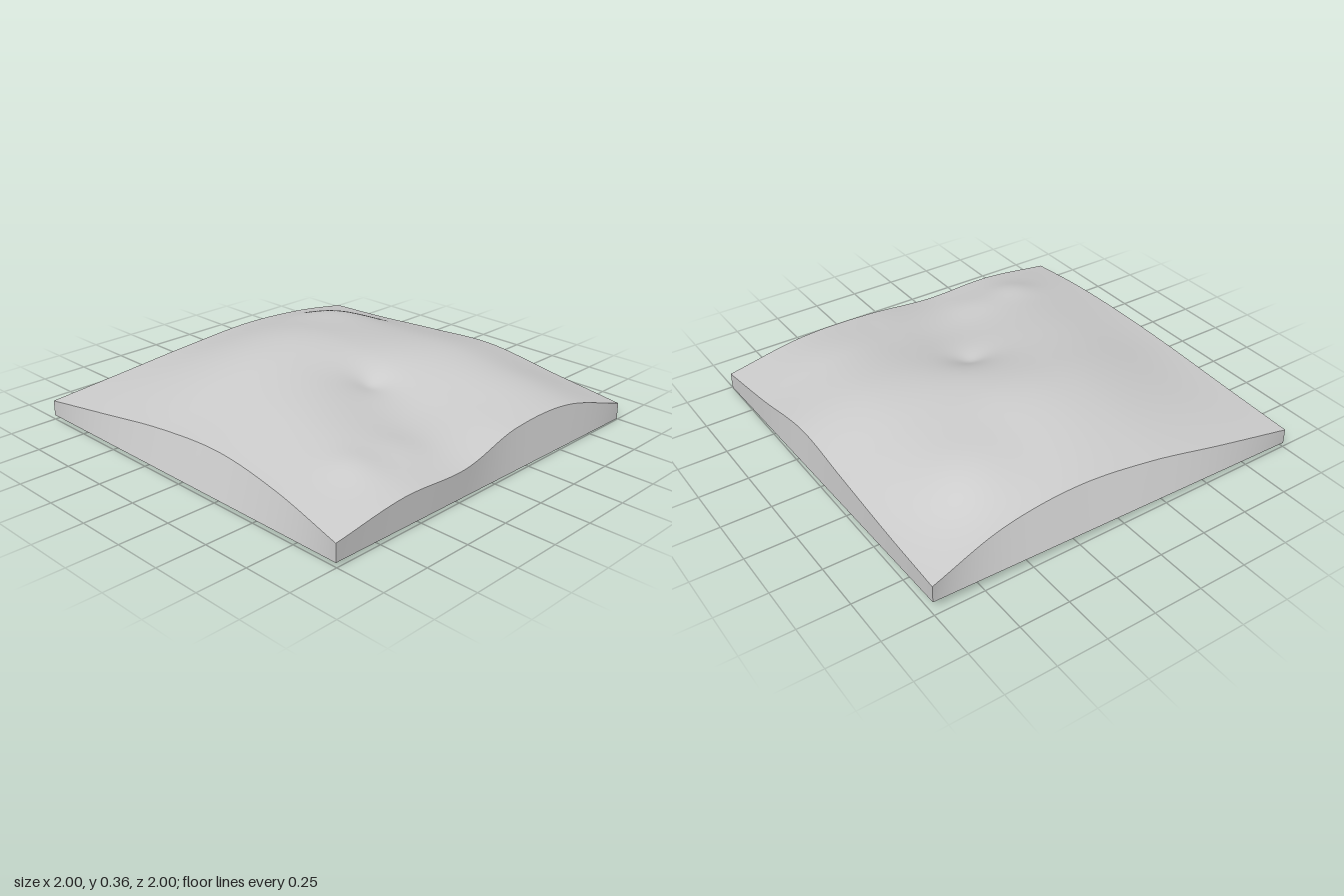
import * as THREE from 'three';

const N = 80;
const curve = pts => new THREE.CatmullRomCurve3(pts.map(p => new THREE.Vector3(...p)), false, 'catmullrom', 0.5);

// Rim curves of the top: front and back run along +x, left and right along +z
const rim = {
  front: curve([[-1, .10, 1], [-.6, .145, .97], [-.2, .19, .943], [.2, .208, .932], [.6, .175, .958], [.995, .108, 1]]),
  back: curve([[-.975, .135, -.99], [-.6, .152, -.988], [-.2, .18, -.984], [.2, .2, -.978], [.6, .14, -.992], [.995, .085, -1]]),
  minusX: curve([[-.975, .135, -.99], [-.915, .21, -.6], [-.9, .238, -.2], [-.918, .208, .2], [-.96, .153, .6], [-1, .10, 1]]),
  plusX: curve([[.995, .085, -1], [.957, .188, -.6], [.955, .195, -.2], [.99, .143, .2], [.99, .155, .6], [.995, .108, 1]]),
};

// Corners of the flat base, slightly tilted
const base = {
  backMinus: new THREE.Vector3(-.975, .048, -.99), backPlus: new THREE.Vector3(.995, 0, -1),
  frontMinus: new THREE.Vector3(-1, .022, 1), frontPlus: new THREE.Vector3(.995, .02, 1),
};

// Soft hills and hollows: x, z, height, radius
const hills = [
  [-.37, .13, .105, .4], [-.62, -.6, .07, .19],
  [.2, -.28, -.03, .3], [.55, -.02, -.035, .22], [.72, -.6, .02, .2],
  [.74, .62, .035, .09], [.74, .34, .015, .1],
];

// Blend of the four rims, with hills and one pinched dimple on top
function surfacePoint(u, v) {
  const f = rim.front.getPoint(u), b = rim.back.getPoint(u);
  const l = rim.minusX.getPoint(v), r = rim.plusX.getPoint(v);
  const across = l.clone().lerp(r, u), along = b.clone().lerp(f, v);
  const bl = rim.back.getPoint(0), br = rim.back.getPoint(1);
  const fl = rim.front.getPoint(0), fr = rim.front.getPoint(1);
  const corners = bl.lerp(br, u).lerp(fl.lerp(fr, u), v);
  const p = across.add(along).sub(corners);
  const q = 16 * u * (1 - u) * v * (1 - v);
  const fade = q * (2 - q);
  for (const [x, z, h, rad] of hills) {
    p.y += fade * h * Math.exp(-((p.x - x) ** 2 + (p.z - z) ** 2) / (2 * rad * rad));
  }
  p.y -= fade * .09 * Math.exp(-Math.hypot(p.x - .2, p.z + .03, .04) / .14);
  return p;
}

// Smooth grid from a function of u and v
function grid(nu, nv, fn) {
  const pos = [], idx = [];
  for (let j = 0; j <= nv; j++) {
    for (let i = 0; i <= nu; i++) pos.push(...fn(i / nu, j / nv).toArray());
  }
  for (let j = 0; j < nv; j++) {
    for (let i = 0; i < nu; i++) {
      const a = j * (nu + 1) + i, c = a + nu + 1;
      idx.push(a, c, a + 1, a + 1, c, c + 1);
    }
  }
  const g = new THREE.BufferGeometry();
  g.setAttribute('position', new THREE.Float32BufferAttribute(pos, 3));
  g.setIndex(idx);
  g.computeVertexNormals();
  return g;
}

export function createModel() {
  const group = new THREE.Group();
  group.name = 'terrainSlab';
  const material = new THREE.MeshStandardMaterial({ color: 0xcccccc, side: THREE.DoubleSide });
  const add = (name, geometry) => {
    const mesh = new THREE.Mesh(geometry, material);
    mesh.name = name;
    group.add(mesh);
  };

  add('terrainSurface', grid(N, N, surfacePoint));

  // Side walls, from the curved rim down to the straight base edge
  const wall = (name, top, from, to, flip) => add(name, grid(N, 1, (s, t) => {
    const u = flip ? 1 - s : s;
    return top.getPoint(u).lerp(from.clone().lerp(to, u), t);
  }));
  wall('frontWall', rim.front, base.frontMinus, base.frontPlus, false);
  wall('backWall', rim.back, base.backMinus, base.backPlus, true);
  wall('rightWall', rim.minusX, base.backMinus, base.frontMinus, false);
  wall('leftWall', rim.plusX, base.backPlus, base.frontPlus, true);

  // Underside
  add('underside', grid(1, 1, (u, v) => {
    const back = base.backMinus.clone().lerp(base.backPlus, u);
    return base.frontMinus.clone().lerp(base.frontPlus, u).lerp(back, v);
  }));
  return group;
}
